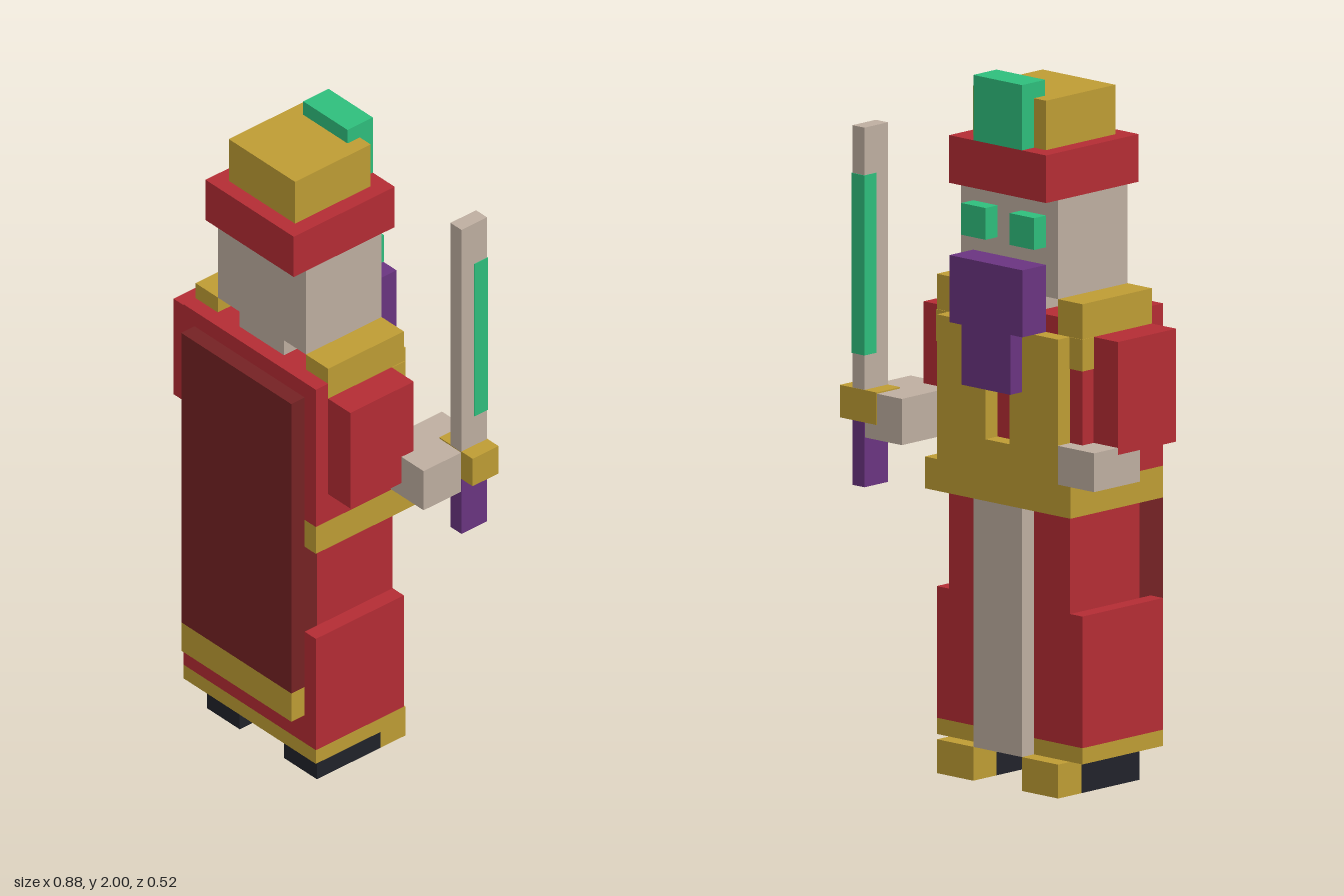
import * as THREE from 'three';

const mat = (name, color) => {
  const m = new THREE.MeshStandardMaterial({ color });
  m.name = name;
  return m;
};

export function createModel() {
  const skin = mat('pale skin', 0xbeaea0);
  const red = mat('robe red', 0xb42c34);
  const maroon = mat('cape maroon', 0x752224);
  const gold = mat('gold', 0xbe9c34);
  const green = mat('jade green', 0x2ebe7c);
  const purple = mat('purple', 0x6a3480);
  const black = mat('shoe black', 0x20222a);

  const model = new THREE.Group();
  model.name = 'figure';
  const section = (name) => {
    const g = new THREE.Group();
    g.name = name;
    model.add(g);
    return g;
  };
  // Box given by its limits on each axis
  const box = (parent, name, m, [x0, x1], [y0, y1], [z0, z1]) => {
    const mesh = new THREE.Mesh(new THREE.BoxGeometry(x1 - x0, y1 - y0, z1 - z0), m);
    mesh.position.set((x0 + x1) / 2, (y0 + y1) / 2, (z0 + z1) / 2);
    mesh.name = name;
    parent.add(mesh);
  };
  // Two boxes mirrored about the body's middle; a and b are distances from it
  const MID = -0.071;
  const pair = (parent, name, m, a, b, y, z) => {
    box(parent, name + 'Left', m, [MID + a, MID + b], y, z);
    box(parent, name + 'Right', m, [MID - b, MID - a], y, z);
  };
  const wide = (h) => [MID - h, MID + h];

  // Head, face and hat
  const head = section('head');
  box(head, 'neck', skin, wide(0.093), [1.35, 1.4], [-0.115, 0.163]);
  box(head, 'skull', skin, wide(0.185), [1.4, 1.68], [-0.115, 0.163]);
  pair(head, 'eye', green, 0.046, 0.139, [1.54, 1.63], [-0.163, -0.115]);
  box(head, 'beard', purple, wide(0.139), [1.3, 1.49], [-0.21, -0.115]);
  box(head, 'beardTip', purple, wide(0.093), [1.13, 1.3], [-0.21, -0.163]);
  box(head, 'hatBand', red, wide(0.185), [1.68, 1.815], [-0.163, 0.208]);
  box(head, 'hatCrown', gold, wide(0.139), [1.815, 1.955], [-0.115, 0.163]);
  box(head, 'hatJewel', green, wide(0.093), [1.815, 2], [-0.163, -0.07]);

  // Torso with gold trim
  const torso = section('torso');
  box(torso, 'chest', red, wide(0.278), [0.89, 1.3], [-0.115, 0.163]);
  box(torso, 'upperChest', red, wide(0.185), [1.3, 1.35], [-0.115, 0.163]);
  box(torso, 'backPlate', red, wide(0.278), [0.89, 1.35], [0.163, 0.208]);
  box(torso, 'belt', gold, wide(0.278), [0.8, 0.89], [-0.163, 0.208]);
  pair(torso, 'shoulder', gold, 0.185, 0.278, [1.3, 1.4], [-0.115, 0.163]);
  pair(torso, 'shoulderDrop', gold, 0.185, 0.28, [1.21, 1.3], [-0.117, -0.07]);
  box(torso, 'vestFront', gold, wide(0.231), [0.89, 0.975], [-0.163, -0.115]);
  pair(torso, 'vestStrap', gold, 0.046, 0.231, [0.975, 1.3], [-0.163, -0.115]);

  // Cape
  const cape = section('cape');
  box(cape, 'capeCloth', maroon, wide(0.231), [0.33, 1.3], [0.163, 0.257]);
  box(cape, 'capeTrim', gold, wide(0.231), [0.235, 0.33], [0.163, 0.257]);

  // Skirt of the robe
  const skirt = section('skirt');
  box(skirt, 'upperSkirt', red, wide(0.231), [0.515, 0.8], [-0.115, 0.163]);
  box(skirt, 'lowerSkirt', red, wide(0.278), [0.142, 0.515], [-0.115, 0.208]);
  box(skirt, 'hem', gold, wide(0.278), [0.096, 0.142], [-0.115, 0.208]);
  box(skirt, 'frontSash', skin, wide(0.093), [0.096, 0.8], [-0.163, -0.115]);

  // Feet
  const feet = section('feet');
  pair(feet, 'shoe', black, 0.093, 0.231, [0, 0.096], [-0.07, 0.163]);
  pair(feet, 'toe', gold, 0.093, 0.231, [0, 0.096], [-0.163, -0.07]);

  // Arms and hands
  const arms = section('arms');
  pair(arms, 'sleeve', red, 0.278, 0.371, [0.98, 1.3], [-0.07, 0.163]);
  box(arms, 'openHand', skin, [-0.441, -0.303], [0.89, 1], [-0.165, 0.02]);
  box(arms, 'swordHand', skin, [0.207, 0.393], [0.937, 1.068], [-0.255, -0.025]);

  // Sword
  const sword = section('sword');
  box(sword, 'blade', skin, [0.348, 0.394], [1.07, 1.815], [-0.257, -0.163]);
  box(sword, 'bladeInlay', green, [0.346, 0.396], [1.17, 1.68], [-0.259, -0.21]);
  box(sword, 'guard', gold, [0.301, 0.441], [0.98, 1.072], [-0.258, -0.163]);
  box(sword, 'grip', purple, [0.348, 0.394], [0.796, 0.98], [-0.257, -0.163]);

  return model;
}
